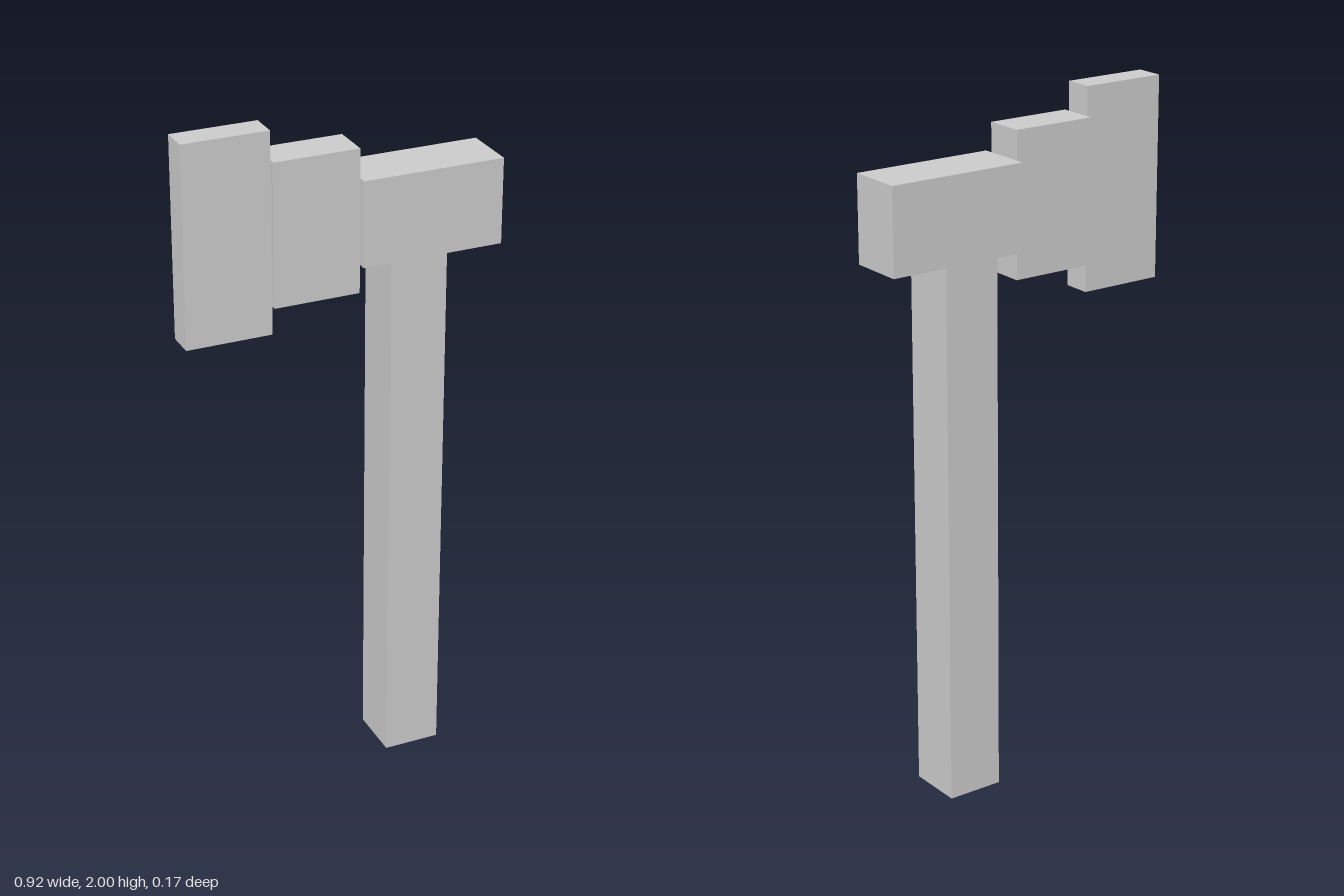
import * as THREE from 'three';

export function createModel() {
  const axe = new THREE.Group();
  axe.name = 'axe';
  const material = new THREE.MeshStandardMaterial({ color: 0xcccccc, flatShading: true });

  // Box given by its x range, y range and depth, centred on z = 0
  function block(name, x0, x1, y0, y1, depth) {
    const mesh = new THREE.Mesh(new THREE.BoxGeometry(x1 - x0, y1 - y0, depth), material);
    mesh.position.set((x0 + x1) / 2, (y0 + y1) / 2, 0);
    mesh.name = name;
    axe.add(mesh);
  }

  // Square shaft and the head block on top of it
  block('handle', 0.125, 0.292, 0, 1.583, 0.167);
  block('headBlock', 0.042, 0.458, 1.583, 1.833, 0.167);

  // Blade grows taller and thinner toward the cutting edge
  block('bladeNeck', -0.208, 0.042, 1.5, 1.917, 0.117);
  block('bladeEdge', -0.458, -0.208, 1.417, 2, 0.083);

  return axe;
}
